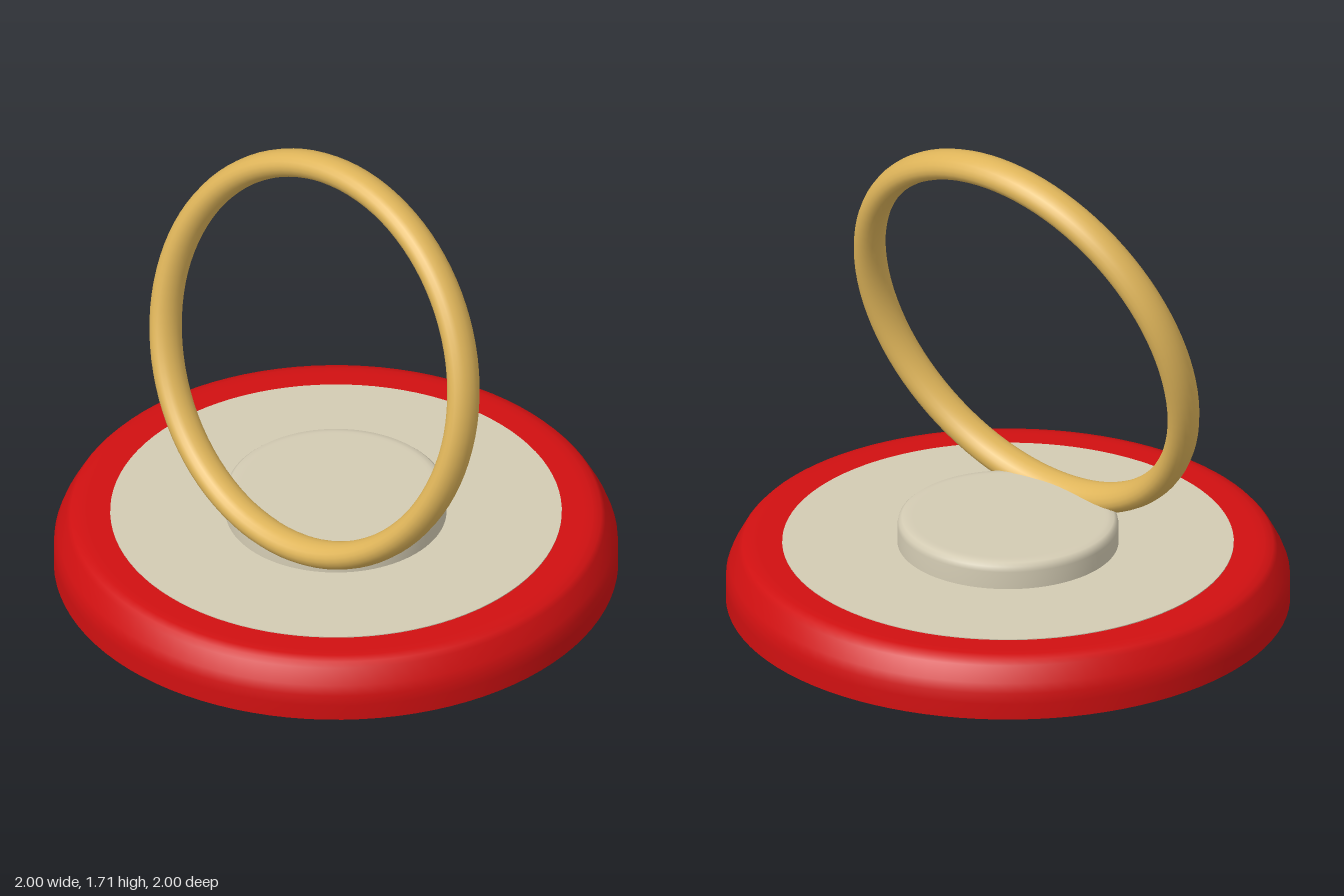
import * as THREE from 'three';

export function createModel() {
  const model = new THREE.Group();
  const material = (name, color) => {
    const m = new THREE.MeshStandardMaterial({ color });
    m.name = name;
    return m;
  };
  const red = material('red', 0xd01011);
  const cream = material('cream', 0xd3cbb3);
  const gold = material('gold', 0xdfb55a);

  const add = (name, geometry, mat) => {
    const mesh = new THREE.Mesh(geometry, mat);
    mesh.name = name;
    model.add(mesh);
    return mesh;
  };
  const lathe = (points) =>
    new THREE.LatheGeometry(points.map(([r, y]) => new THREE.Vector2(r, y)), 96);

  // Red base: flat underside and straight lower wall (own pieces keep the edge sharp)
  add('baseUnderside', new THREE.CircleGeometry(1, 96).rotateX(Math.PI / 2), red);
  add('base', lathe([
    [1, 0], [1, 0.06], [0.998, 0.1], [0.985, 0.135], [0.955, 0.19],
    [0.94, 0.207], [0.91, 0.215], [0.88, 0.216], [0, 0.216],
  ]), red);

  // Cream inlay on top of the base
  add('inlay', new THREE.CylinderGeometry(0.8, 0.8, 0.004, 96).translate(0, 0.217, 0), cream);

  // Raised round hub with a softened rim
  add('hub', lathe([
    [0.392, 0.216], [0.392, 0.285], [0.388, 0.304], [0.376, 0.315],
    [0.355, 0.318], [0.34, 0.318], [0, 0.318],
  ]), cream);

  // Tilted ring, its band a little deeper than it is thick
  const ring = add('ring', new THREE.TorusGeometry(0.708, 0.05, 20, 96).scale(1, 1, 1.32), gold);
  ring.position.set(0.05, 0.97, 0.163);
  ring.rotation.x = -0.255;

  return model;
}
